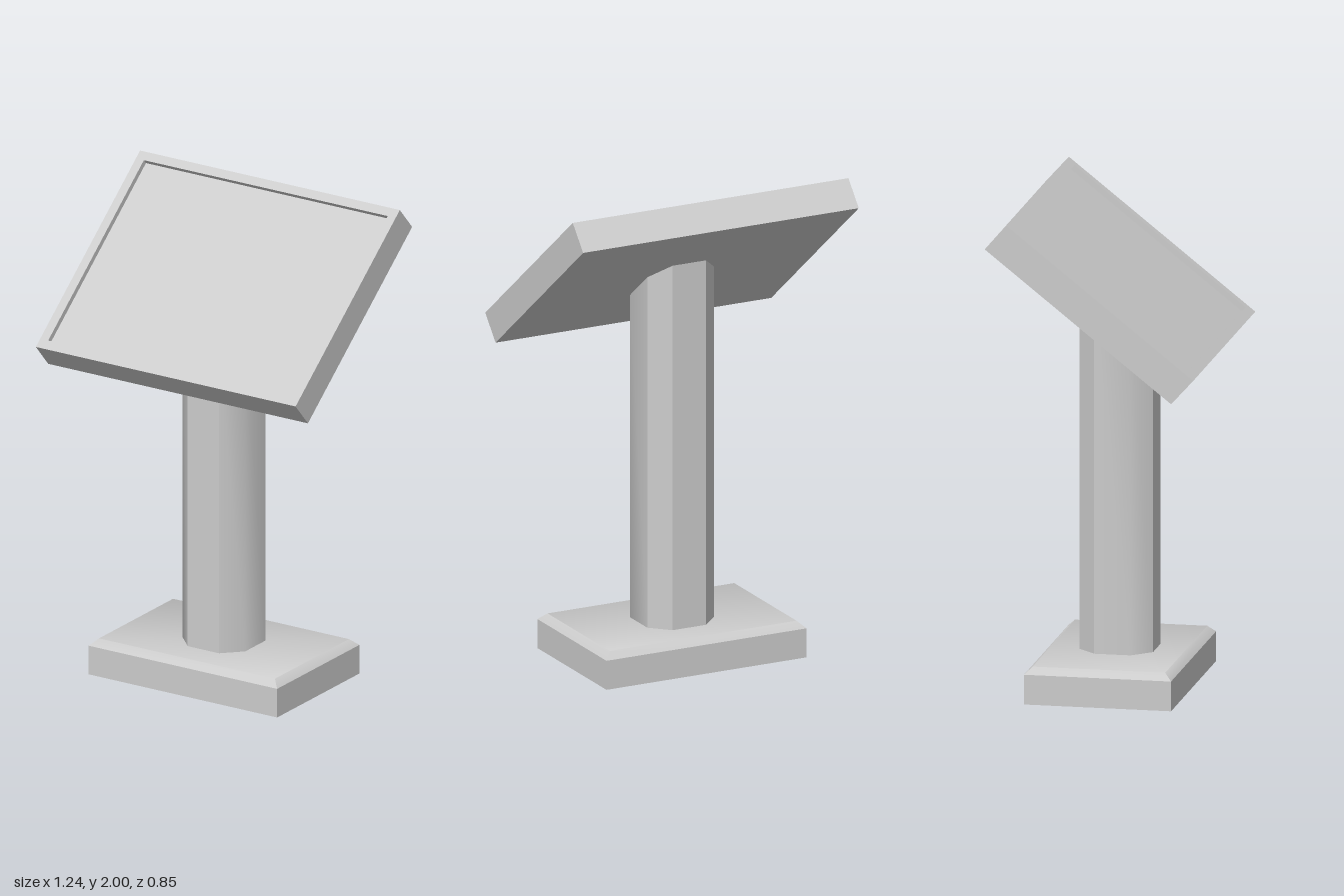
import * as THREE from 'three';
import { toCreasedNormals } from 'three/addons/utils/BufferGeometryUtils.js';

const CREASE = THREE.MathUtils.degToRad(44.8);
const material = new THREE.MeshStandardMaterial({ color: 0xcccccc });

// Moves every vertex of a geometry by a rule
function reshape(geometry, rule) {
  const p = geometry.attributes.position;
  const v = new THREE.Vector3();
  for (let i = 0; i < p.count; i++) {
    rule(v.fromBufferAttribute(p, i));
    p.setXYZ(i, v.x, v.y, v.z);
  }
  return geometry;
}

function addPart(group, name, geometry) {
  const mesh = new THREE.Mesh(geometry, material);
  mesh.name = name;
  group.add(mesh);
}

function rectangle(PathType, x, y0, y1) {
  return new PathType([[-x, y0], [x, y0], [x, y1], [-x, y1]].map(([a, b]) => new THREE.Vector2(a, b)));
}

// Underside of the tilted panel at depth z
const undersideY = (z) => 1.3 + (0.335 - z) * 0.6 / 0.76;

export function createModel() {
  const model = new THREE.Group();
  model.name = 'lectern';

  // Base plate with a softly shaded bevel round its top
  const base = reshape(new THREE.BoxGeometry(0.9, 0.15, 0.6, 1, 2, 1), (v) => {
    if (v.y > 0.05) {
      v.x -= Math.sign(v.x) * 0.03;
      v.z -= Math.sign(v.z) * 0.03;
    }
    v.y = v.y > 0.05 ? 0.15 : v.y > -0.05 ? 0.122 : 0;
  });
  addPart(model, 'base', toCreasedNormals(base, CREASE));

  // Eight-sided column, cut at the slope of the panel;
  // the front chamfers blend softly into the sides
  const half = [[0.075, 0.15], [0.15, 0.074], [0.15, -0.075], [0.075, -0.15]];
  const outline = [...half, ...half.map(([x, z]) => [-x, z]).reverse()];
  const section = new THREE.Shape(outline.map(([x, z]) => new THREE.Vector2(x, -z)));
  const column = new THREE.ExtrudeGeometry(section, { depth: 1, bevelEnabled: false });
  column.rotateX(-Math.PI / 2);
  reshape(column, (v) => {
    v.y = v.y > 0.5 ? undersideY(v.z) + 0.02 : 0.14;
  });
  addPart(model, 'column', toCreasedNormals(column, CREASE));

  // Tilted panel: x across, y up the slope (0..1), z through the thickness (0..1)
  const tilt = new THREE.Matrix4().makeBasis(
    new THREE.Vector3(1, 0, 0),
    new THREE.Vector3(0, 0.6, -0.76),
    new THREE.Vector3(0, 0.1, 0.09),
  ).setPosition(0, 1.3, 0.335);
  const floor = 0.83;
  const panel = new THREE.Group();
  panel.name = 'panel';
  model.add(panel);

  // Solid back, whose top is the floor of the recess
  const body = new THREE.BoxGeometry(1.24, 1, floor).translate(0, 0.5, floor / 2);
  addPart(panel, 'panelBody', body.applyMatrix4(tilt));

  // Raised rim round the recess
  const rim = rectangle(THREE.Shape, 0.62, 0, 1);
  rim.holes.push(rectangle(THREE.Path, 0.582, 0.042, 0.96));
  const frame = new THREE.ExtrudeGeometry(rim, { depth: 1 - floor, bevelEnabled: false });
  addPart(panel, 'panelRim', frame.translate(0, 0, floor).applyMatrix4(tilt));

  return model;
}
